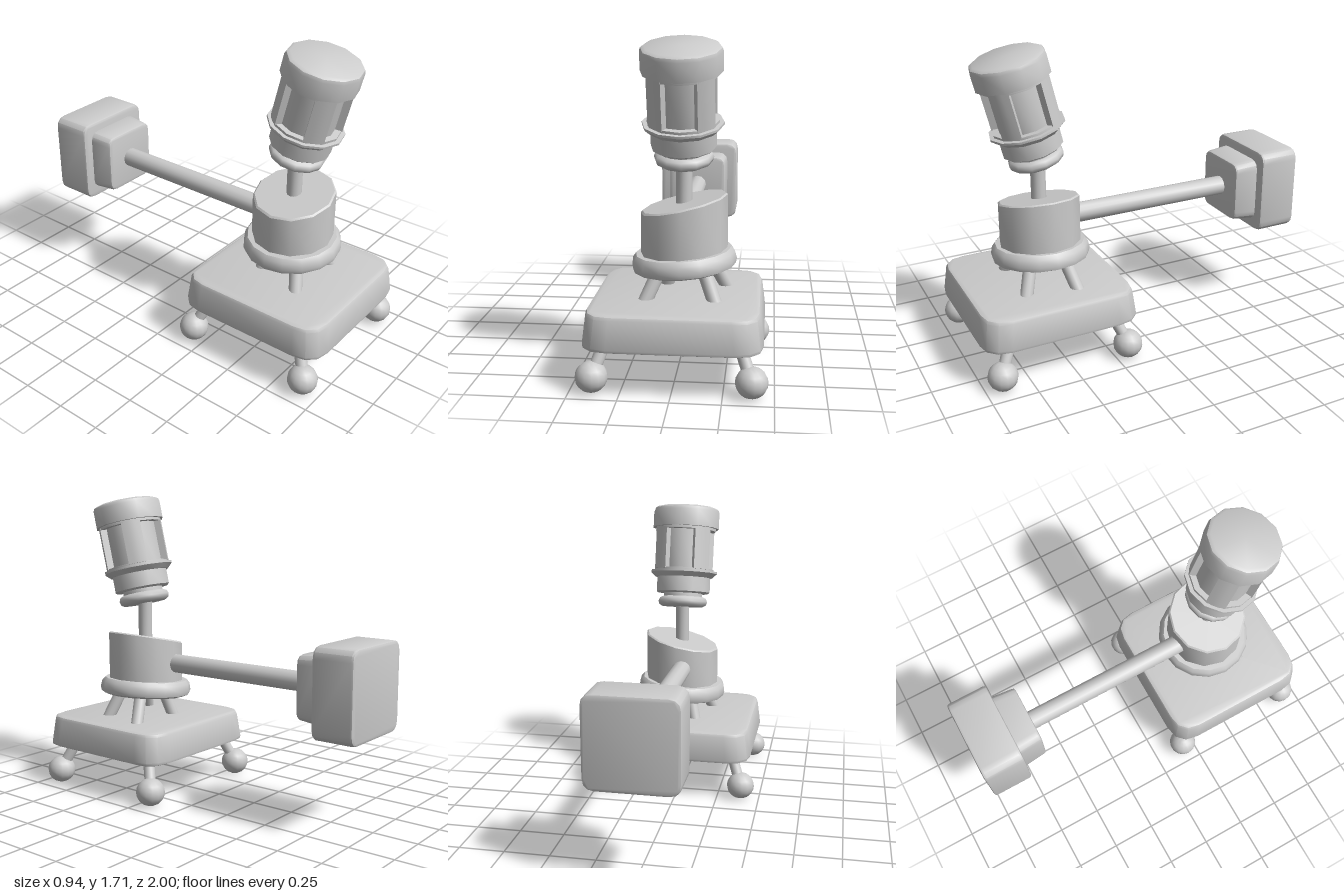
import * as THREE from 'three';
import { toCreasedNormals } from 'three/addons/utils/BufferGeometryUtils.js';

const material = new THREE.MeshStandardMaterial({ color: 0xcccccc });
const V = (x, y, z) => new THREE.Vector3(x, y, z);

function part(name, geometry, parent, crease = 0.62) {
  const mesh = new THREE.Mesh(toCreasedNormals(geometry, crease), material);
  mesh.name = name;
  parent.add(mesh);
  return mesh;
}

// Turned solid from [radius, height] pairs, bottom to top
function turned(profile, sides = 12) {
  return new THREE.LatheGeometry(profile.map(([r, y]) => new THREE.Vector2(r, y)), sides);
}

// Straight round rod between two points
function rod(name, a, b, radius, parent) {
  const mesh = part(name, new THREE.CylinderGeometry(radius, radius, a.distanceTo(b), 12), parent);
  mesh.position.copy(a).lerp(b, 0.5);
  mesh.quaternion.setFromUnitVectors(V(0, 1, 0), b.clone().sub(a).normalize());
  return mesh;
}

// Slab with rounded corners and edges, standing on y = 0, narrowing to the top
function slab(w, d, h, corner, bevel, topScale) {
  const x = w / 2 - bevel, y = d / 2 - bevel, r = corner;
  const s = new THREE.Shape();
  s.moveTo(-x + r, -y);
  s.lineTo(x - r, -y);
  s.quadraticCurveTo(x, -y, x, -y + r);
  s.lineTo(x, y - r);
  s.quadraticCurveTo(x, y, x - r, y);
  s.lineTo(-x + r, y);
  s.quadraticCurveTo(-x, y, -x, y - r);
  s.lineTo(-x, -y + r);
  s.quadraticCurveTo(-x, -y, -x + r, -y);
  const g = new THREE.ExtrudeGeometry(s, {
    depth: h - 2 * bevel, curveSegments: 3,
    bevelSize: bevel, bevelThickness: bevel, bevelSegments: 2,
  });
  g.translate(0, 0, bevel).rotateX(-Math.PI / 2);
  const p = g.attributes.position;
  for (let i = 0; i < p.count; i++) {
    const k = 1 + (topScale - 1) * p.getY(i) / h;
    p.setX(i, p.getX(i) * k);
    p.setZ(i, p.getZ(i) * k);
  }
  return g;
}

// Upright wall segment of a ring, centred on the given angle
function pillar(outer, inner, height, angle, span) {
  const pts = [];
  for (let i = 0; i <= 3; i++) {
    const a = angle + span * (i / 3 - 0.5);
    pts.push(new THREE.Vector2(Math.cos(a) * outer, Math.sin(a) * outer));
  }
  for (let i = 3; i >= 0; i--) {
    const a = angle + span * (i / 3 - 0.5);
    pts.push(new THREE.Vector2(Math.cos(a) * inner, Math.sin(a) * inner));
  }
  const g = new THREE.ExtrudeGeometry(new THREE.Shape(pts), { depth: height, bevelEnabled: false });
  return g.rotateX(-Math.PI / 2);
}

export function createModel() {
  const model = new THREE.Group();
  model.name = 'model';

  // Base slab on four ball feet
  part('base', slab(0.89, 0.89, 0.18, 0.12, 0.02, 0.95), model).position.set(0.003, 0.23, 0.555);
  for (const sx of [-1, 1]) for (const sz of [-1, 1]) {
    const at = (x, y, z) => V(sx * x, y, 0.543 + sz * z);
    rod('footLeg', at(0.385, 0.09, 0.36), at(0.325, 0.25, 0.29), 0.032, model);
    const ball = part('footBall', new THREE.SphereGeometry(0.081, 14, 10), model, 1);
    ball.scale.y = 0.96;
    ball.position.copy(at(0.39, 0.078, 0.362));
  }

  // Four splayed struts under the drum
  for (const [x, z] of [[-0.155, 0.69], [0.2, 0.69], [0.25, 0.41], [-0.075, 0.41]]) {
    const top = V(0.035 + (x - 0.035) * 0.55, 0.58, 0.54 + (z - 0.54) * 0.6);
    rod('strut', V(x, 0.39, z), top, 0.036, model);
  }

  // Tilted flange ring
  const flange = part('flange', turned([
    [0, 0], [0.235, 0], [0.263, 0.012], [0.27, 0.035], [0.262, 0.075], [0.245, 0.095], [0, 0.1],
  ], 16), model, 0.8);
  flange.position.set(0.034, 0.533, 0.537);
  flange.rotation.z = 0.085;

  // Drum with a slanted top
  const drumGeo = turned([[0, 0], [0.222, 0], [0.222, 0.265], [0.213, 0.273], [0, 0.273]]);
  const dp = drumGeo.attributes.position;
  for (let i = 0; i < dp.count; i++) if (dp.getY(i) > 0.2) dp.setY(i, dp.getY(i) + dp.getX(i) * 0.23);
  part('drum', drumGeo, model).position.set(0.03, 0.605, 0.537);

  // Rear arm with stepped counterweight
  rod('arm', V(0, 0.735, 0.4), V(0, 0.735, -0.7), 0.055, model);
  const plate = part('weightPlate', slab(0.37, 0.37, 0.15, 0.045, 0.012, 0.93), model);
  plate.rotation.x = Math.PI / 2;
  plate.position.set(0, 0.735, -0.78);
  const block = part('weightBlock', slab(0.485, 0.485, 0.235, 0.05, 0.014, 1), model);
  block.rotation.x = Math.PI / 2;
  block.position.set(0, 0.733, -1);

  // Neck post
  rod('neckPost', V(0.03, 0.84, 0.535), V(0.03, 1.14, 0.535), 0.041, model);

  // Head leaning forward
  const head = new THREE.Group();
  head.name = 'head';
  head.position.set(0.03, 1.08, 0.535);
  head.rotation.x = 0.244;
  model.add(head);
  part('headFoot', turned([
    [0, 0], [0.125, 0], [0.146, 0.012], [0.152, 0.032], [0.143, 0.052], [0.12, 0.062], [0.12, 0.09],
  ]), head, 0.9);
  part('headCollar', turned([[0, 0.082], [0.155, 0.082], [0.165, 0.09], [0.165, 0.2], [0, 0.2]]), head);
  part('headRim', turned([
    [0, 0.178], [0.175, 0.178], [0.205, 0.205], [0.205, 0.217], [0.182, 0.217], [0.182, 0.23], [0, 0.23],
  ]), head);
  part('headCore', turned([[0.148, 0.22], [0.148, 0.48]]), head);
  for (let i = 0; i < 4; i++) {
    const a = Math.PI / 4 + i * Math.PI / 2;
    part('headPillar', pillar(0.186, 0.145, 0.25, a, 0.6), head, 0.3).position.y = 0.225;
  }
  part('headCap', turned([
    [0, 0.463], [0.186, 0.463], [0.186, 0.478], [0.203, 0.478], [0.203, 0.575], [0.197, 0.592], [0.18, 0.602], [0, 0.605],
  ]), head);

  return model;
}
